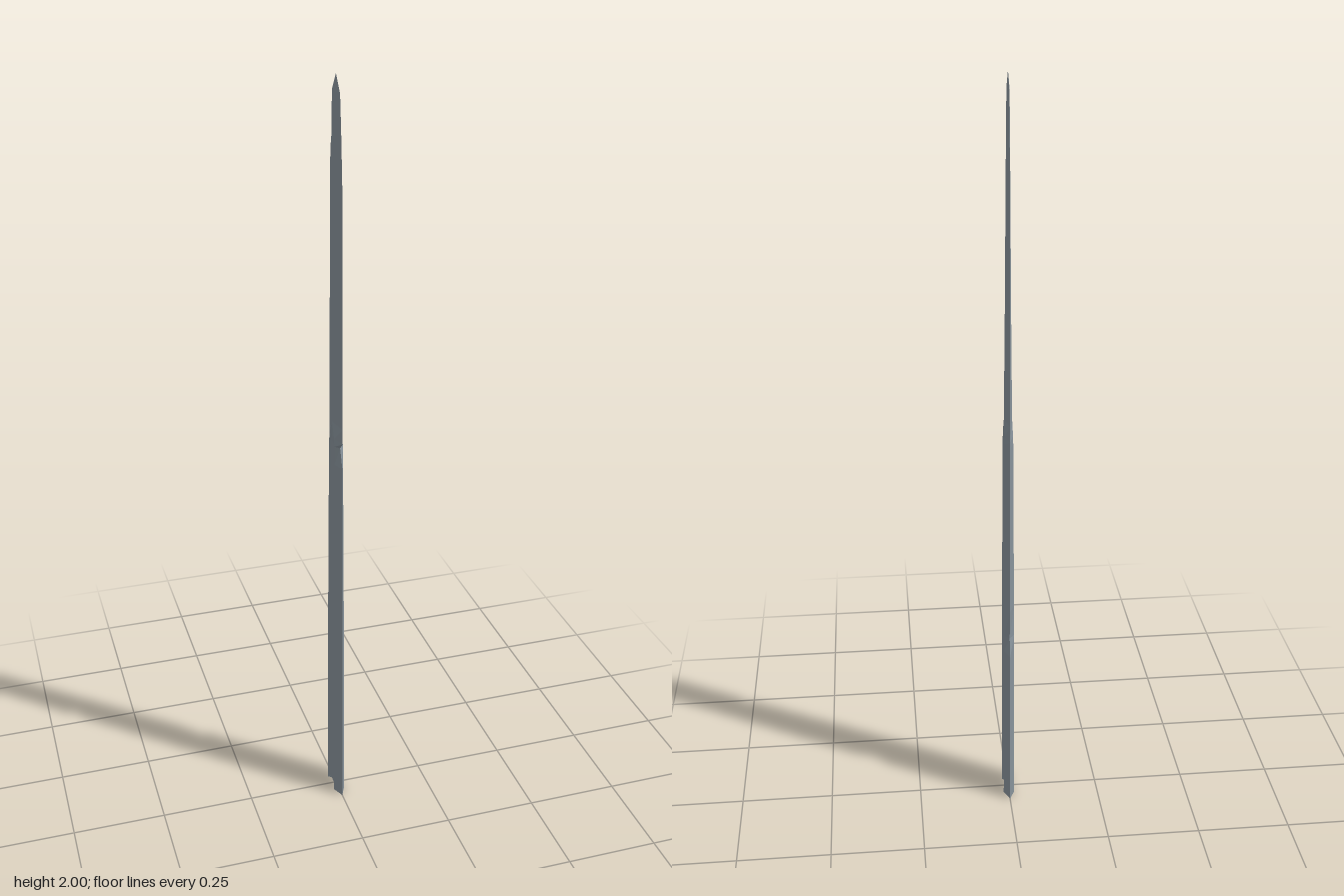
import * as THREE from 'three';

export function createModel() {
  const steel = new THREE.MeshStandardMaterial({ color: 0x87929a, flatShading: true });
  steel.name = 'worn steel';

  // Each section: height, front edge z, back edge z, ridge x, ridge z, groove x, groove z
  const sections = [
    [0, 0.062, -0.062, 0.015, 0.03, 0.01, 0.023],
    [0.47, 0.062, -0.062, 0.0138, 0.029, 0.0092, 0.022],
    [0.52, 0.062, -0.047, 0.0136, 0.029, 0.009, 0.022],
    [0.61, 0.061, -0.059, 0.0133, 0.028, 0.0088, 0.022],
    [1.03, 0.056, -0.056, 0.0115, 0.024, 0.0075, 0.019],
    [1.08, 0.036, -0.056, 0.0112, 0.023, 0.0073, 0.018],
    [1.1, 0.057, -0.055, 0.011, 0.02, 0.0085, 0.012],
    [1.14, 0.056, -0.055, 0.0105, 0, 0.0105, 0],
    [1.4, 0.053, -0.053, 0.008, 0, 0.008, 0],
    [1.75, 0.05, -0.048, 0.0055, 0, 0.0055, 0],
    [1.82, 0.045, -0.045, 0.005, 0, 0.005, 0],
    [1.86, 0.042, -0.035, 0.0047, 0, 0.0047, 0],
    [1.89, 0.039, -0.036, 0.0045, 0, 0.0045, 0],
    [1.96, 0.032, -0.031, 0.0035, 0, 0.0035, 0],
    [2, 0, 0, 0, 0, 0, 0],
  ];

  // Double-bevelled outline with a central groove on each face
  const rings = sections.map(([y, front, back, rx, rz, gx, gz]) => {
    const floor = y === 0 ? 0.012 : y;
    const side = [[rx, y, rz], [gx, floor, gz], [gx, floor, 0], [gx, floor, -gz], [rx, y, -rz]];
    const other = side.map(([x, h, z]) => [-x, h, z]).reverse();
    return [[0, y, front], ...side, [0, y, back], ...other];
  });

  const positions = [];
  const triangle = (...corners) => corners.forEach((p) => positions.push(...p));
  const count = rings[0].length;
  for (let j = 0; j < count; j++) {
    const k = (j + 1) % count;
    for (let i = 0; i < rings.length - 1; i++) {
      const low = rings[i], high = rings[i + 1];
      triangle(low[j], low[k], high[k]);
      triangle(low[j], high[k], high[j]);
    }
    // Broken lower end
    triangle([0, 0.012, 0], rings[0][k], rings[0][j]);
  }

  const geometry = new THREE.BufferGeometry();
  geometry.setAttribute('position', new THREE.Float32BufferAttribute(positions, 3));
  geometry.computeVertexNormals();

  const blade = new THREE.Mesh(geometry, steel);
  blade.name = 'chippedBlade';
  const group = new THREE.Group();
  group.name = 'swordBlade';
  group.add(blade);
  return group;
}
